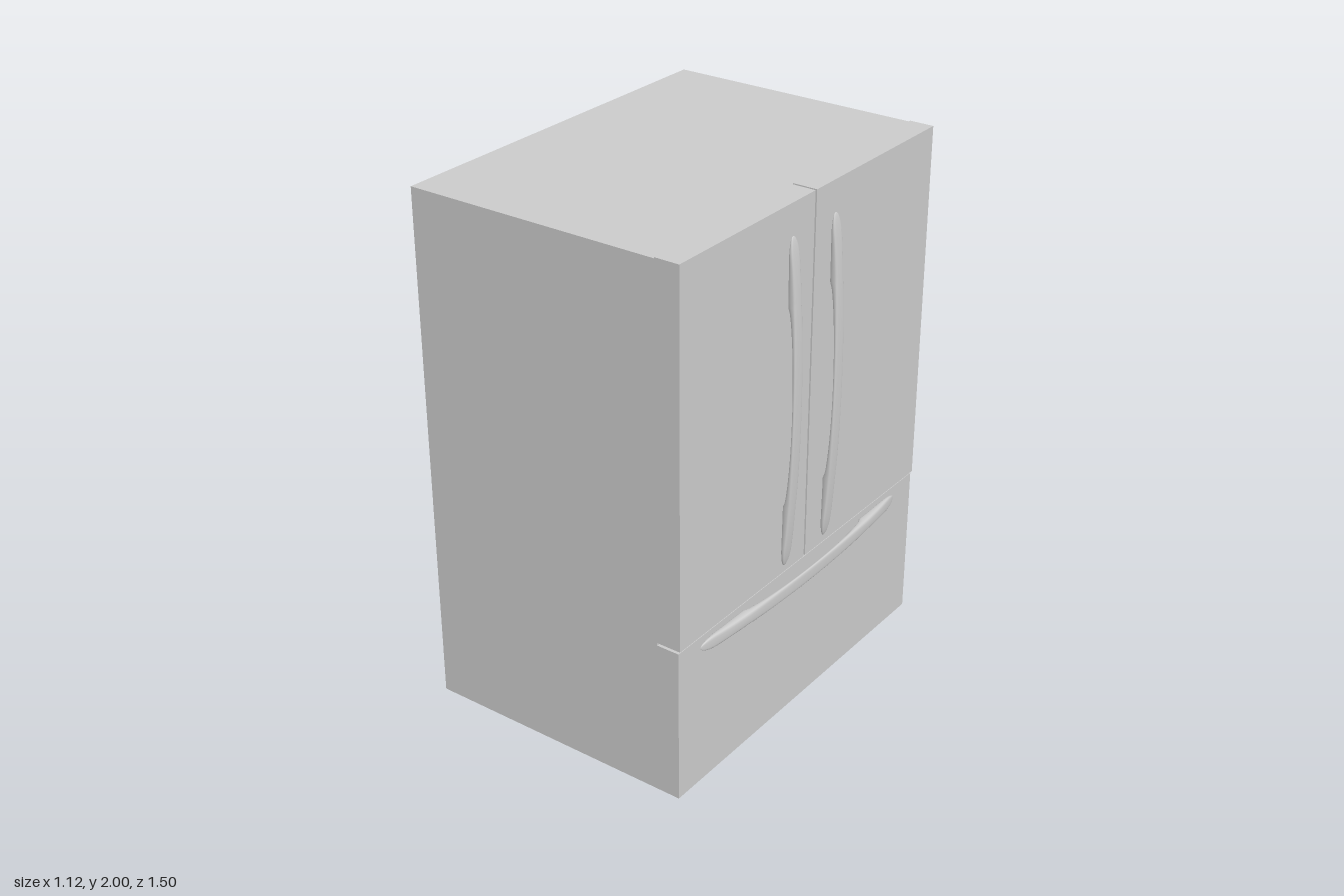
import * as THREE from 'three';

const material = new THREE.MeshStandardMaterial({ color: 0xcccccc });

// Box given by its min and max corners
function slab(name, [x0, y0, z0], [x1, y1, z1]) {
  const mesh = new THREE.Mesh(new THREE.BoxGeometry(x1 - x0, y1 - y0, z1 - z0), material);
  mesh.name = name;
  mesh.position.set((x0 + x1) / 2, (y0 + y1) / 2, (z0 + z1) / 2);
  return mesh;
}

// Bowed handle along y, standing out towards +x, with solid feet and a finger gap
function handleGeometry(half, gapHalf, bow, halfWidth) {
  const rows = 72, sides = 20, positions = [], indices = [];
  const soft = (v) => Math.sign(v) * Math.abs(v) ** 0.6;
  for (let i = 0; i <= rows; i++) {
    const y = -half * Math.cos((i / rows) * Math.PI);
    const outer = bow * Math.max(0, 1 - (y / half) ** 2) ** 0.6;
    const g = Math.max(0, 1 - (y / gapHalf) ** 2);
    const inner = g > 0 ? (bow - 0.012) * g ** 0.65 : -0.002;
    const tip = Math.min(1, (half - Math.abs(y)) / 0.08);
    const w = halfWidth * Math.sqrt(Math.max(0, 1 - (1 - tip) ** 2));
    for (let j = 0; j < sides; j++) {
      const a = (j / sides) * Math.PI * 2;
      positions.push((outer + inner) / 2 + ((outer - inner) / 2) * soft(Math.cos(a)), y, w * soft(Math.sin(a)));
    }
  }
  for (let i = 0; i < rows; i++) {
    for (let j = 0; j < sides; j++) {
      const a = i * sides + j, b = i * sides + ((j + 1) % sides);
      indices.push(a, a + sides, b, b, a + sides, b + sides);
    }
  }
  const geometry = new THREE.BufferGeometry();
  geometry.setAttribute('position', new THREE.Float32BufferAttribute(positions, 3));
  geometry.setIndex(indices);
  geometry.computeVertexNormals();
  return geometry;
}

export function createModel() {
  const group = new THREE.Group();
  group.name = 'refrigerator';
  const back = -0.562, seam = 0.428, doorFace = 0.522, drawerFace = 0.516, side = 0.748;

  // Cabinet, two upper doors and the freezer drawer, with narrow gaps between
  group.add(
    slab('cabinet', [back, 0, -side], [seam, 1.996, side]),
    slab('leftDoor', [seam, 0.61, -side], [doorFace, 2, -0.001]),
    slab('rightDoor', [seam, 0.61, 0.008], [doorFace, 2, side]),
    slab('freezerDrawer', [seam, 0, -side], [drawerFace, 0.6, side])
  );

  // Upright door handles
  const doorHandle = handleGeometry(0.623, 0.375, 0.04, 0.025);
  for (const [name, z] of [['leftDoorHandle', -0.12], ['rightDoorHandle', 0.133]]) {
    const handle = new THREE.Mesh(doorHandle, material);
    handle.name = name;
    handle.position.set(doorFace, 1.26, z);
    group.add(handle);
  }

  // Horizontal drawer handle
  const drawerHandle = new THREE.Mesh(handleGeometry(0.622, 0.375, 0.046, 0.025), material);
  drawerHandle.name = 'drawerHandle';
  drawerHandle.rotation.x = Math.PI / 2;
  drawerHandle.position.set(drawerFace, 0.555, 0.003);
  group.add(drawerHandle);

  return group;
}
